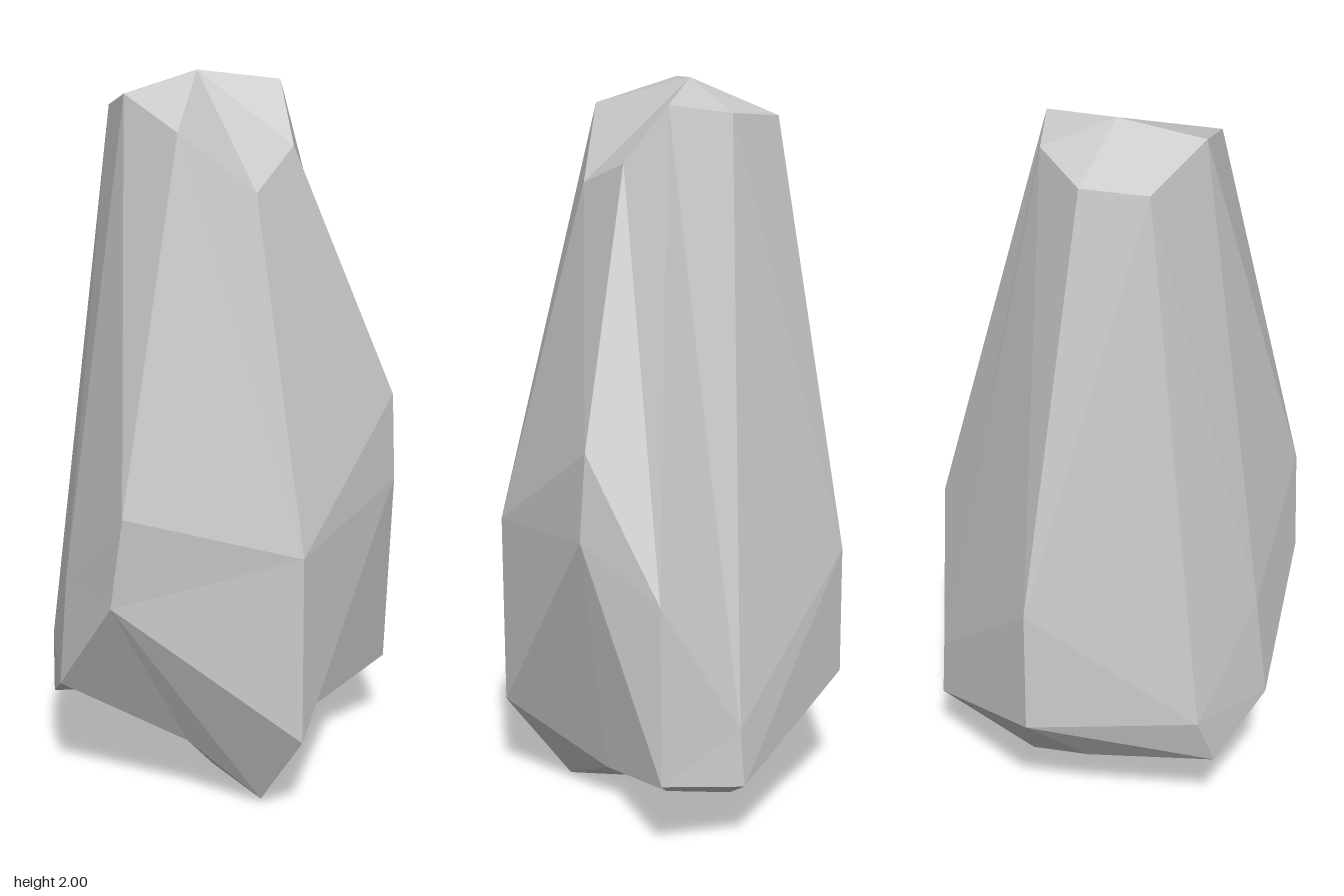
import * as THREE from 'three';

// Cross-section loops of the stone, each running front -> +x -> back -> -x.
const peak = [-0.06, 2.0, -0.03];
const crown = [
  [0, 1.9, 0.28], [0.165, 1.725, 0.14], [0.2, 1.81, -0.06], [0.13, 1.965, -0.155],
  [-0.03, 1.935, -0.225], [-0.23, 1.9, -0.19], [-0.31, 1.89, -0.03], [-0.19, 1.965, 0.165],
];
const waist = [
  [-0.08, 0.92, 0.49], [0.35, 0.79, 0.285], [0.45, 1.11, -0.19], [0.38, 0.73, -0.4],
  [0.165, 0.35, -0.477], [-0.31, 0.72, -0.38], [-0.465, 0.37, 0.06], [-0.33, 0.64, 0.28],
];
const skirt = [
  [-0.12, 0.66, 0.48], [0.35, 0.255, 0.28], [0.462, 0.87, -0.18], [0.38, 0.23, -0.405],
  [0.158, 0.19, -0.487], [-0.31, 0.36, -0.38], [-0.44, 0.22, 0.12], [-0.34, 0.34, 0.31],
];
const foot = [
  [0.01, 0.195, 0.25], [0.2, 0.015, 0.18], [0.227, 0.105, -0.01], [0.16, 0.07, -0.18],
  [0, 0.045, -0.265], [-0.26, 0.185, -0.185], [-0.15, 0.255, 0.08],
];
const base = [-0.01, 0, -0.01];

// Joins two loops with one triangle per step: U advances the upper loop, L the lower.
function stitch(out, upper, lower, steps) {
  let u = 0, l = 0;
  for (const step of steps) {
    const a = upper[u % upper.length], b = lower[l % lower.length];
    const next = step === 'U' ? upper[++u % upper.length] : lower[++l % lower.length];
    out.push(...a, ...b, ...next);
  }
}

// Closes a loop with a fan around one point.
function fan(out, centre, loop, facingUp) {
  loop.forEach((p, i) => {
    const q = loop[(i + 1) % loop.length];
    out.push(...centre, ...(facingUp ? p : q), ...(facingUp ? q : p));
  });
}

export function createModel() {
  const positions = [];
  fan(positions, peak, crown, true);
  stitch(positions, crown, waist, 'LULULULULUULLULU');
  stitch(positions, waist, skirt, 'ULLUULULULULLULU');
  stitch(positions, skirt, foot, 'LULULULUULULULU');
  fan(positions, base, foot, false);

  const geometry = new THREE.BufferGeometry();
  geometry.setAttribute('position', new THREE.Float32BufferAttribute(positions, 3));
  geometry.computeVertexNormals();

  const stone = new THREE.Mesh(
    geometry,
    new THREE.MeshStandardMaterial({ color: 0xcccccc, flatShading: true })
  );
  stone.name = 'stone';

  const group = new THREE.Group();
  group.name = 'standingStone';
  group.add(stone);
  return group;
}
